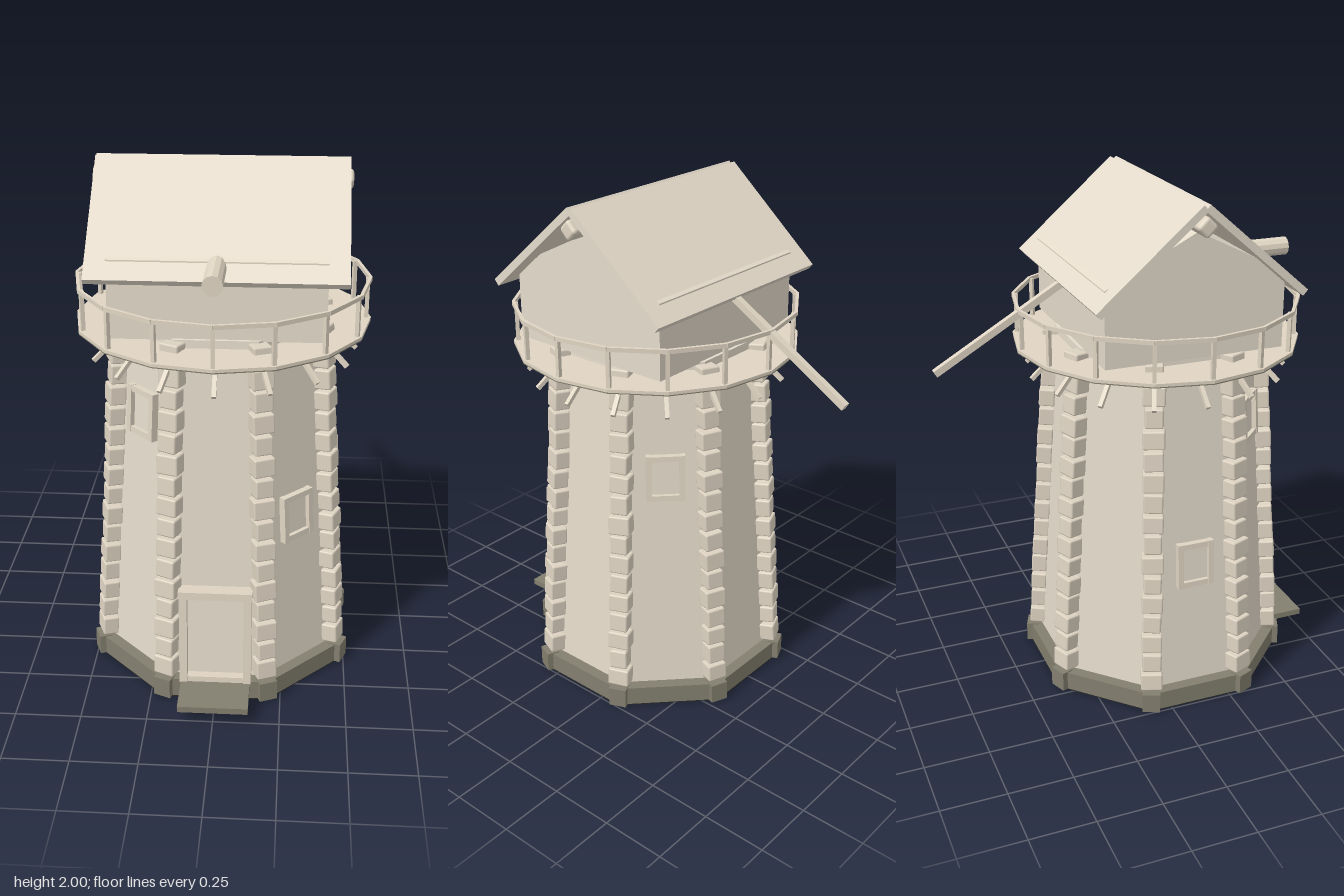
import * as THREE from 'three';
import { RoundedBoxGeometry } from 'three/addons/geometries/RoundedBoxGeometry.js';

const mat = (name, color) => Object.assign(new THREE.MeshStandardMaterial({ color }), { name });

export function createModel() {
  const plaster = mat('plaster', 0xe5dbcb);
  const stone = mat('cornerStone', 0xdfd4c3);
  const wood = mat('paleWood', 0xe0d5c3);
  const darkStone = mat('darkStone', 0x837f6f);
  const shadowStone = mat('blackUnderside', 0x2b2b2a);

  const root = new THREE.Group();
  root.name = 'windmillTower';
  const mill = new THREE.Group();
  mill.name = 'mill';
  mill.position.z = 0.115;
  root.add(mill);

  // Helpers
  const add = (name, geo, material, parent = mill) => {
    const m = new THREE.Mesh(geo, material);
    m.name = name;
    parent.add(m);
    return m;
  };
  const flat = (geo) => {
    const g = geo.toNonIndexed();
    g.computeVertexNormals();
    return g;
  };
  const box = (name, w, h, d, x, y, z, material, parent) => {
    const m = add(name, new THREE.BoxGeometry(w, h, d), material, parent);
    m.position.set(x, y, z);
    return m;
  };
  const polar = (angle, r, y) => new THREE.Vector3(Math.sin(angle) * r, y, Math.cos(angle) * r);
  // Square beam between two points, oriented before it joins the mill
  const beam = (name, a, b, w, h, material) => {
    const m = new THREE.Mesh(new THREE.BoxGeometry(w, h, a.distanceTo(b)), material);
    m.name = name;
    m.position.copy(a).add(b).multiplyScalar(0.5);
    m.lookAt(b);
    mill.add(m);
  };
  let seed = 7;
  const rand = () => ((seed = (seed * 16807) % 2147483647) / 2147483647) - 0.5;

  // Tapering eight-sided tower
  const corner = (y) => 0.487 - 0.068 * y;
  const apothem = (y) => corner(y) * Math.cos(Math.PI / 8);
  const lean = Math.atan(0.068 * Math.cos(Math.PI / 8));
  const prism = (rTop, rBottom, y0, y1, sides, turn) => {
    const g = new THREE.CylinderGeometry(rTop, rBottom, y1 - y0, sides);
    g.rotateY(turn);
    g.translate(0, (y0 + y1) / 2, 0);
    return flat(g);
  };
  add('towerWall', prism(corner(1.43), corner(0.04), 0.04, 1.43, 8, Math.PI / 8), plaster);
  add('plinth', prism(0.53, 0.53, 0.004, 0.08, 8, Math.PI / 8), darkStone);
  add('underside', prism(0.53, 0.53, 0, 0.004, 8, Math.PI / 8), shadowStone);

  // Corner stones and plinth blocks
  for (let i = 0; i < 8; i++) {
    const a = (i + 0.5) * Math.PI / 4;
    const block = box('plinthBlock', 0.07, 0.08, 0.05, 0, 0, 0, darkStone);
    block.position.copy(polar(a, 0.514, 0.044));
    block.rotation.y = a;
    for (let k = 0; k < 16; k++) {
      const y = 0.13 + k * 0.0838;
      const w = (k % 2 ? 0.072 : 0.083) + rand() * 0.008;
      const s = add('cornerStone', new RoundedBoxGeometry(w, 0.073 + rand() * 0.008, 0.064, 1, 0.007), stone);
      s.position.copy(polar(a, corner(y) + 0.014 + rand() * 0.006, y));
      s.rotation.set(-lean, a + rand() * 0.08, rand() * 0.06, 'YXZ');
    }
  }

  // Group lying on a tower wall at a given height
  const onWall = (name, angle, y) => {
    const g = new THREE.Group();
    g.name = name;
    g.position.copy(polar(angle, apothem(y), y));
    g.rotation.set(-lean, angle, 0, 'YXZ');
    mill.add(g);
    return g;
  };

  // Framed windows
  for (const [deg, y] of [[45, 0.71], [135, 0.98], [270, 0.595], [315, 1.11]]) {
    const g = onWall('window', deg * Math.PI / 180, y);
    box('windowPane', 0.11, 0.15, 0.009, 0, 0, 0.005, plaster, g);
    for (const s of [-1, 1]) {
      box('windowJamb', 0.022, 0.185, 0.04, s * 0.063, 0, 0.008, wood, g);
      box('windowRail', 0.11, 0.022, 0.036, 0, s * 0.08, 0.008, wood, g);
    }
  }

  // Door with frame, threshold and step
  const door = onWall('door', 0, 0.25);
  box('doorPanel', 0.22, 0.37, 0.02, 0, 0, 0.004, plaster, door);
  for (const s of [-1, 1]) box('doorJamb', 0.03, 0.37, 0.065, s * 0.122, 0.005, 0.02, wood, door);
  box('lintel', 0.28, 0.03, 0.075, 0, 0.198, 0.022, wood, door);
  box('threshold', 0.22, 0.022, 0.06, 0, -0.166, 0.02, wood, door);
  box('doorStep', 0.265, 0.025, 0.2, 0, 0.0625, 0.55, darkStone);

  // Gallery: floor with dark underside, railing and struts
  add('galleryFloor', prism(0.555, 0.555, 1.388, 1.4, 16, 0), wood);
  add('galleryUnderside', prism(0.555, 0.555, 1.384, 1.388, 16, 0), darkStone);
  for (let i = 0; i < 16; i++) {
    const a = i * Math.PI / 8, b = a + Math.PI / 8;
    const post = box('railPost', 0.015, 0.155, 0.015, 0, 0, 0, wood);
    post.position.copy(polar(a, 0.538, 1.475));
    post.rotation.y = a;
    beam('handRail', polar(a, 0.548, 1.55), polar(b, 0.548, 1.55), 0.012, 0.016, wood);
    beam('galleryStrut', polar(a, 0.395, 1.375), polar(a, 0.505, 1.275), 0.016, 0.016, wood);
  }

  // Cap body with low gables, extruded along x
  const gable = new THREE.Shape();
  [[-0.348, 1.425], [0.348, 1.425], [0.348, 1.7135], [0, 1.89], [-0.348, 1.7135]]
    .forEach(([x, y], i) => (i ? gable.lineTo(x, y) : gable.moveTo(x, y)));
  const capGeo = new THREE.ExtrudeGeometry(gable, { depth: 0.77, bevelEnabled: false });
  capGeo.translate(0, 0, -0.385).rotateY(Math.PI / 2);
  add('capBody', capGeo, plaster);

  // Two roof slabs meeting at the ridge with a small groove
  for (const s of [-1, 1]) {
    beam('roofSlab', new THREE.Vector3(0, 1.989, s * 0.003),
      new THREE.Vector3(0, 1.648, s * 0.396), 0.915, 0.028, plaster);
  }

  // Ridge beam, sail shaft and tail pole
  const ridge = add('ridgeBeam', new RoundedBoxGeometry(0.94, 0.06, 0.06, 2, 0.014), wood);
  ridge.position.y = 1.922;
  ridge.rotation.x = Math.PI / 4;
  const shaft = new THREE.CylinderGeometry(0.036, 0.036, 0.43, 12).rotateX(Math.PI / 2);
  add('sailShaft', flat(shaft), wood).position.set(0, 1.693, 0.335);
  beam('tailPole', new THREE.Vector3(0, 1.675, -0.32), new THREE.Vector3(0, 1.347, -0.874), 0.026, 0.026, wood);

  return root;
}
